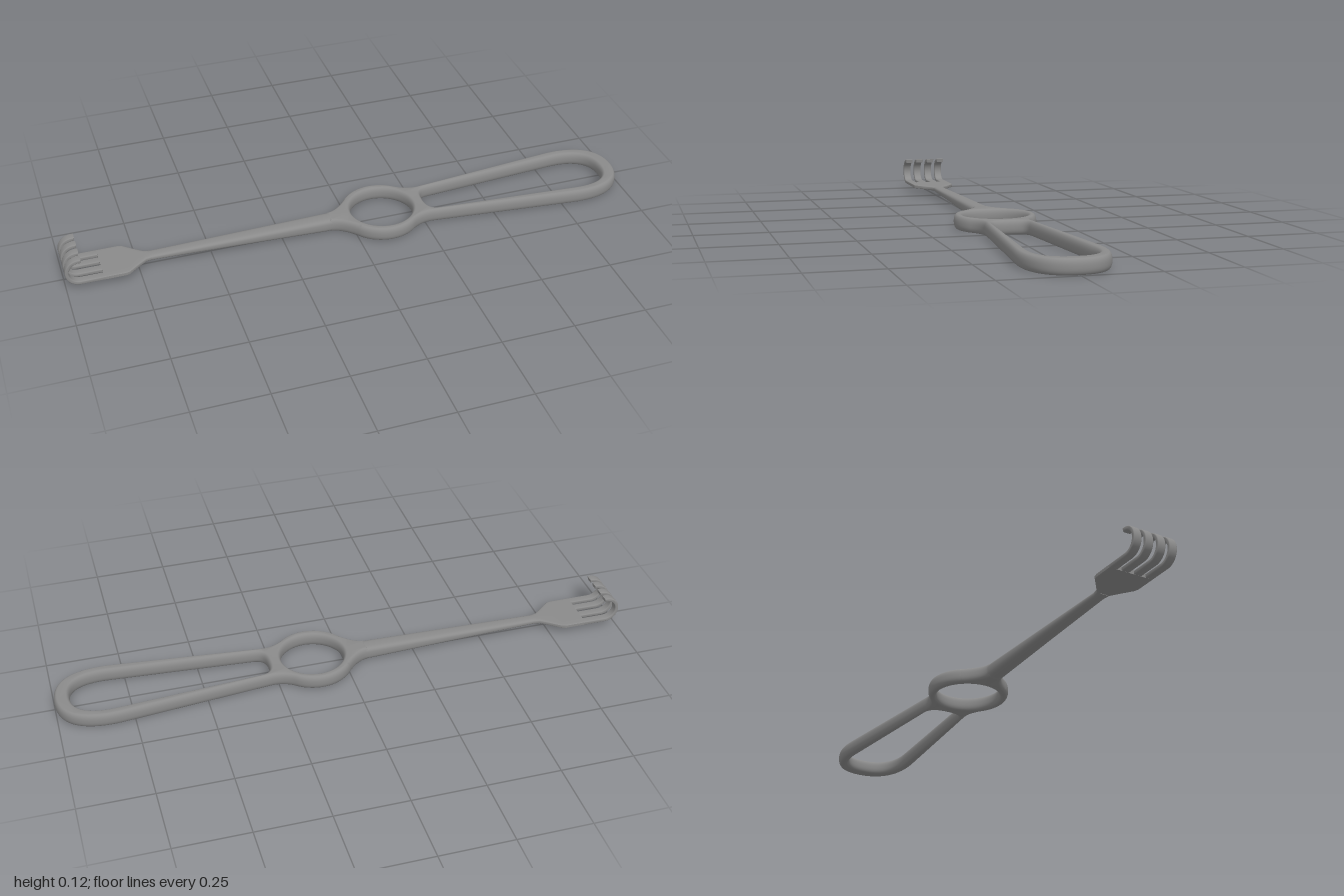
import * as THREE from 'three';
import { toCreasedNormals } from 'three/addons/utils/BufferGeometryUtils.js';

const steel = new THREE.MeshStandardMaterial({ color: 0x8a8a8a });
steel.name = 'brushed steel';

// Normals are smoothed at a larger scale, because the smoothing merges points closer than 0.01
function part(name, geometry, crease = 0.7) {
  const smooth = toCreasedNormals(geometry.scale(100, 100, 100), crease).scale(0.01, 0.01, 0.01);
  const mesh = new THREE.Mesh(smooth, steel);
  mesh.name = name;
  return mesh;
}

// Closes a half outline by mirroring it across the long axis, counter-clockwise
function mirrored(half) {
  const pts = half.getPoints(20);
  const other = pts.filter(p => p.y > 1e-5).map(p => new THREE.Vector2(p.x, -p.y)).reverse();
  return pts.concat(other).reverse();
}

// Skins a row of rounded-box sections [x, halfWidth, yLow, yHigh, squareness], running towards -x
function loft(sections, sides = 32) {
  const pos = [], index = [];
  const power = (v, e) => Math.sign(v) * Math.abs(v) ** e;
  for (const [x, w, y0, y1, e] of sections) {
    for (let j = 0; j < sides; j++) {
      const a = (j / sides) * Math.PI * 2;
      pos.push(x, (y0 + y1) / 2 + (y1 - y0) / 2 * power(Math.sin(a), e), w * power(Math.cos(a), e));
    }
  }
  for (let i = 0; i < sections.length - 1; i++) {
    for (let j = 0; j < sides; j++) {
      const a = i * sides + j, b = i * sides + (j + 1) % sides;
      index.push(a, b, a + sides, b, b + sides, a + sides);
    }
  }
  const end = (sections.length - 1) * sides;
  for (let j = 1; j < sides - 1; j++) {
    index.push(0, j + 1, j, end, end + j, end + j + 1);
  }
  const g = new THREE.BufferGeometry();
  g.setAttribute('position', new THREE.Float32BufferAttribute(pos, 3));
  g.setIndex(index);
  return g;
}

// Finger ring and long grip loop in one rounded piece
function handleGeometry() {
  const outer = new THREE.Path();
  outer.moveTo(-0.085, 0.029);
  outer.lineTo(-0.075, 0.03);
  outer.quadraticCurveTo(-0.04, 0.036, 0.003, 0.09);
  outer.absarc(0.11, 0, 0.14, Math.PI * 0.777, Math.PI * 0.28, true);
  outer.quadraticCurveTo(0.235, 0.08, 0.275, 0.083);
  outer.lineTo(0.79, 0.136);
  outer.bezierCurveTo(0.92, 0.148, 1, 0.1, 1, 0);

  const loopHole = new THREE.Path();
  loopHole.moveTo(0.268, 0);
  loopHole.bezierCurveTo(0.268, 0.045, 0.28, 0.06, 0.31, 0.062);
  loopHole.lineTo(0.8, 0.099);
  loopHole.bezierCurveTo(0.9, 0.107, 0.948, 0.075, 0.948, 0);

  const shape = new THREE.Shape(mirrored(outer));
  const ringHole = new THREE.Path();
  ringHole.absarc(0.113, 0, 0.109, 0, Math.PI * 2, true);
  shape.holes.push(ringHole, new THREE.Path(mirrored(loopHole).reverse()));
  const g = new THREE.ExtrudeGeometry(shape, {
    depth: 0.006, curveSegments: 32, bevelThickness: 0.022,
    bevelSize: 0.012, bevelOffset: -0.012, bevelSegments: 6,
  });
  return g.rotateX(Math.PI / 2).translate(0, 0.028, 0);
}

// One curled prong, seen from the side and given width along z
function prongGeometry() {
  const cx = -0.951, cy = 0.074, tip = Math.PI * 0.45;
  const s = new THREE.Shape();
  s.moveTo(-0.868, 0.025);
  s.lineTo(cx, 0.025);
  s.absarc(cx, cy, 0.049, Math.PI * 1.5, tip, true);
  s.absarc(cx, cy, 0.036, tip, Math.PI * 1.5, false);
  s.lineTo(-0.868, 0.038);
  return new THREE.ExtrudeGeometry(s, {
    depth: 0.02, curveSegments: 32, bevelThickness: 0.004,
    bevelSize: 0.003, bevelOffset: -0.003, bevelSegments: 3,
  }).translate(0, 0, -0.01);
}

export function createModel() {
  const model = new THREE.Group();
  model.name = 'handRetractor';
  model.add(part('handle', handleGeometry()));

  // Tapering shaft
  model.add(part('shaft', loft([
    [-0.05, 0.03, 0.001, 0.0495, 0.6],
    [-0.1, 0.03, 0.001, 0.0495, 0.6],
    [-0.4, 0.025, 0.011, 0.045, 0.65],
    [-0.7, 0.02, 0.02, 0.04, 0.7],
    [-0.73, 0.021, 0.021, 0.0385, 0.6],
  ])));

  // Flat blade that flares out to carry the prongs
  model.add(part('blade', loft([
    [-0.7, 0.019, 0.021, 0.039, 0.6],
    [-0.725, 0.024, 0.022, 0.039, 0.5],
    [-0.75, 0.043, 0.023, 0.0385, 0.35],
    [-0.79, 0.075, 0.0246, 0.0384, 0.2],
    [-0.805, 0.078, 0.0246, 0.0384, 0.2],
    [-0.875, 0.078, 0.0246, 0.0384, 0.2],
  ])));

  // Four hooked prongs
  for (const z of [-0.064, -0.022, 0.022, 0.064]) {
    const prong = part('prong', prongGeometry());
    prong.position.z = z;
    model.add(prong);
  }
  return model;
}
